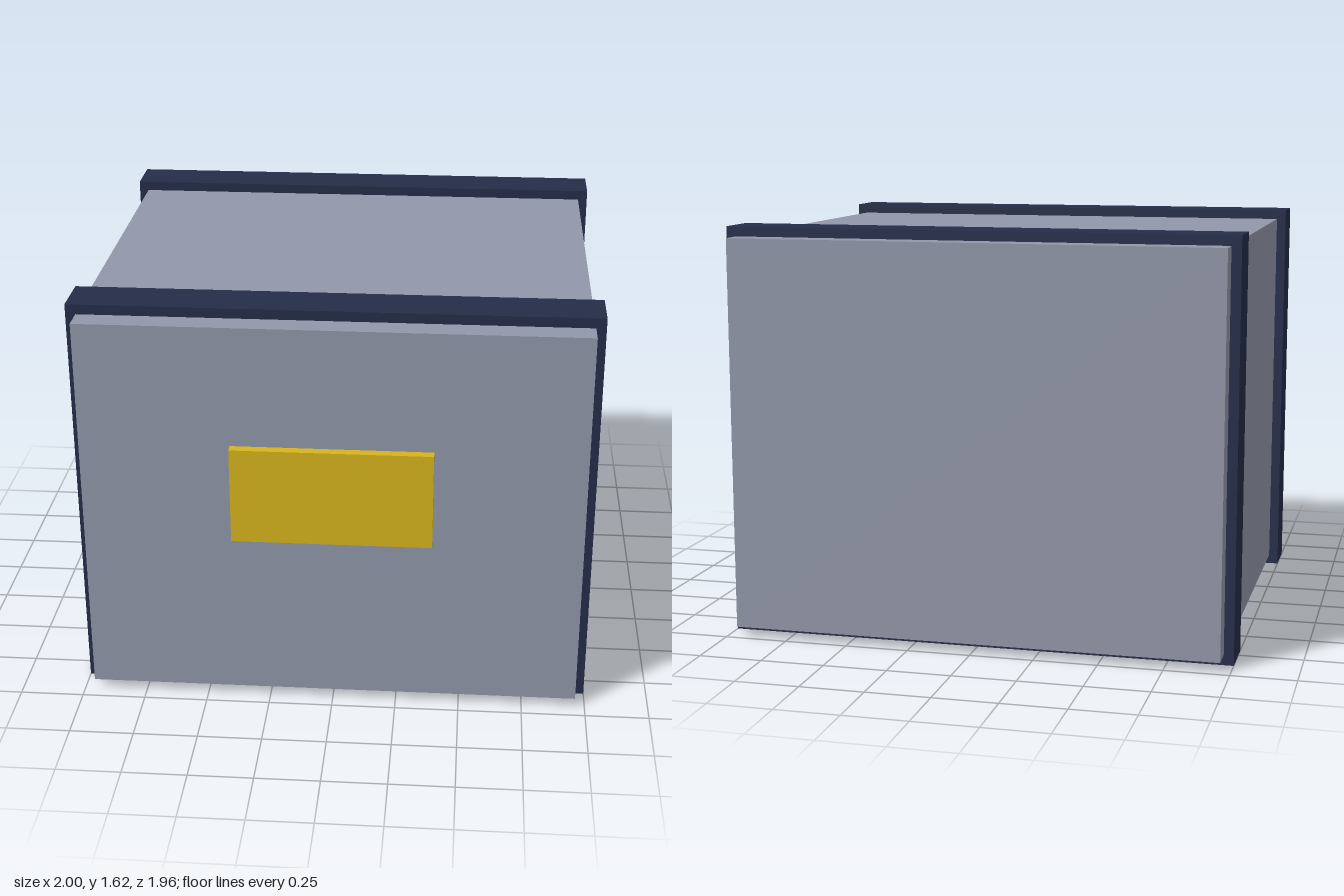
import * as THREE from 'three';

const paint = (color) => new THREE.MeshStandardMaterial({ color });

function box(name, size, position, material) {
  const mesh = new THREE.Mesh(new THREE.BoxGeometry(...size), material);
  mesh.name = name;
  mesh.position.set(...position);
  return mesh;
}

export function createModel() {
  const model = new THREE.Group();
  model.name = 'crate';
  const grey = paint(0x9197a9);
  const navy = paint(0x242d48);
  const yellow = paint(0xd6b41c);
  const midY = 0.808;
  const midZ = -0.019;

  // Main container
  model.add(box('crateBody', [1.923, 1.538, 1.923], [0, midY, midZ], grey));

  // Raised bands wrapping the container near each end
  for (const [name, side] of [['frontBand', 1], ['backBand', -1]]) {
    model.add(box(name, [2, 1.615, 0.192], [0, midY, midZ + side * 0.769], navy));
  }

  // Label plate on the front face
  model.add(box('frontPlate', [0.769, 0.385, 0.039], [0, 0.908, 0.961], yellow));

  return model;
}
